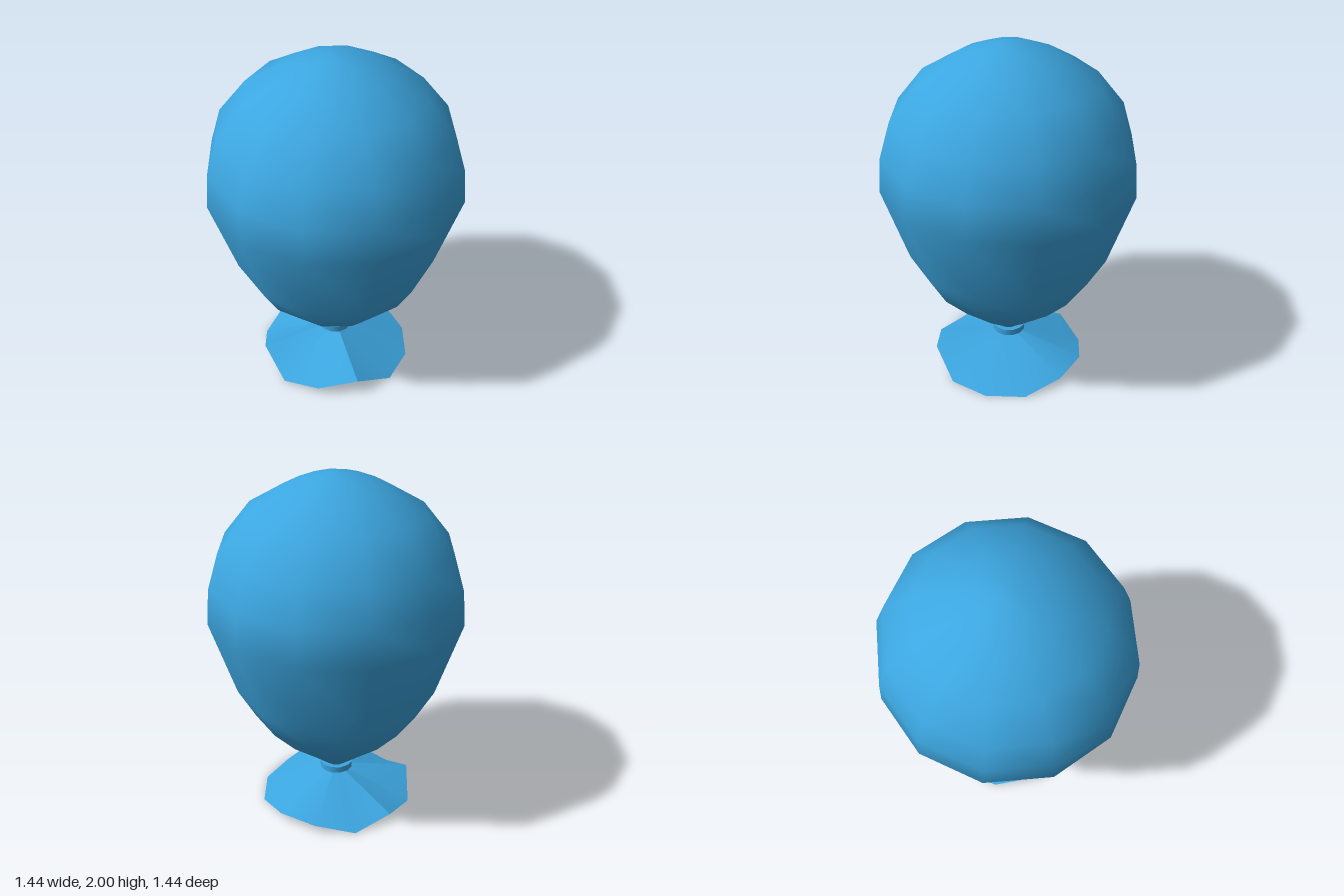
import * as THREE from 'three';
import { toCreasedNormals } from 'three/addons/utils/BufferGeometryUtils.js';

const SIDES = 12;

export function createModel() {
  const group = new THREE.Group();
  group.name = 'balloon';

  const blue = new THREE.MeshStandardMaterial({ color: 0x3ca6e0, side: THREE.DoubleSide });
  blue.name = 'balloon blue';

  const add = (name, geometry) => {
    const mesh = new THREE.Mesh(geometry, blue);
    mesh.name = name;
    group.add(mesh);
    return mesh;
  };

  // Inflated body: smooth twelve-sided lathe, radius and height from the neck up
  const profile = [
    [0.04, 0.2], [0.075, 0.23], [0.17, 0.31], [0.33, 0.44], [0.475, 0.595],
    [0.575, 0.77], [0.72, 1.21], [0.705, 1.41], [0.645, 1.61], [0.49, 1.805],
    [0.295, 1.92], [0.165, 1.975], [0.05, 2], [0, 2],
  ].map(([r, y]) => new THREE.Vector2(r, y));
  add('body', new THREE.LatheGeometry(profile, SIDES));

  // Tied band around the neck
  const band = new THREE.CylinderGeometry(0.097, 0.097, 0.038, SIDES);
  add('neckBand', band).position.y = 0.203;

  // Rumpled skirt: a fan from the neck to a wavy rim
  const rimHeights = [0, 0.1, 0.05, 0, 0.1, 0, 0.05, 0, 0.05, 0.05, 0, 0];
  const rim = rimHeights.map((y, i) => {
    const a = (i / SIDES) * Math.PI * 2;
    return [0.45 * Math.cos(a), y, 0.45 * Math.sin(a)];
  });
  const corners = [];
  rim.forEach((p, i) => corners.push(0, 0.197, 0, ...rim[(i + 1) % SIDES], ...p));
  const skirt = new THREE.BufferGeometry();
  skirt.setAttribute('position', new THREE.Float32BufferAttribute(corners, 3));
  add('skirt', toCreasedNormals(skirt, 0.4));

  return group;
}
